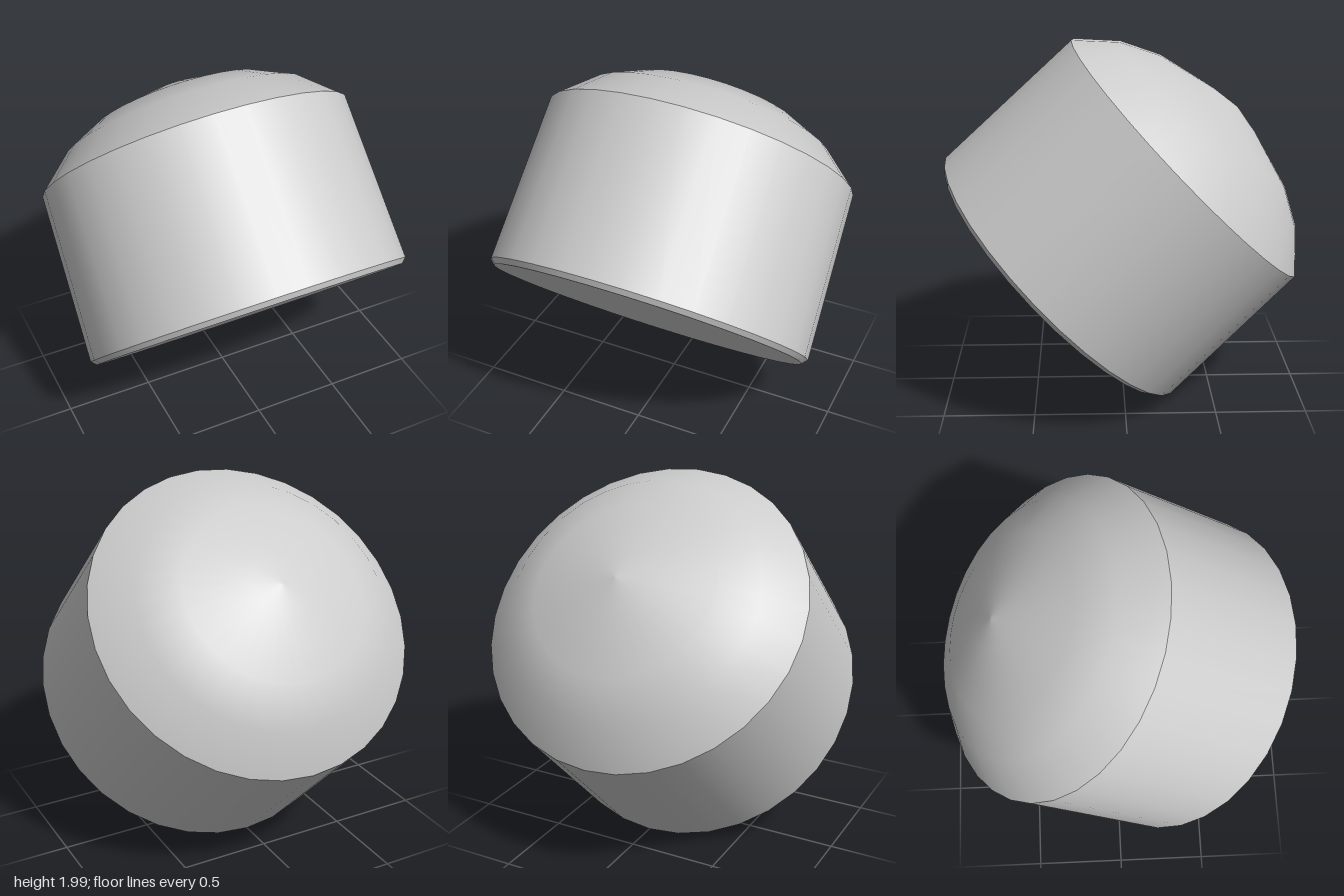
import * as THREE from 'three';

const SEGMENTS = 32;

// One smooth surface of revolution; profile points are [radius, height], bottom to top
function revolve(name, profile, material) {
  const points = profile.map(([r, y]) => new THREE.Vector2(r, y));
  const mesh = new THREE.Mesh(new THREE.LatheGeometry(points, SEGMENTS), material);
  mesh.name = name;
  return mesh;
}

export function createModel() {
  const group = new THREE.Group();
  group.name = 'domedCap';
  const material = new THREE.MeshStandardMaterial({ color: 0xcccccc });

  // Heights are measured along the axis from the dome rim
  const rim = 0.909, foot = 0.933, base = 0.905;
  const footY = -0.962, baseY = -0.99;

  const body = new THREE.Group();
  body.name = 'tiltedBody';
  body.add(
    revolve('baseDisc', [[0, baseY], [base, baseY]], material),
    revolve('baseBevel', [[base, baseY], [foot, footY]], material),
    revolve('sideWall', [[foot, footY], [rim, 0]], material),
    revolve('dome', [[rim, 0], [0.716, 0.182], [0.509, 0.29], [0.172, 0.378], [0, 0.404]], material),
  );

  // Lean the axis up and back
  body.rotation.x = -0.802;
  body.position.set(0, 1.345, -0.35);
  group.add(body);
  return group;
}
